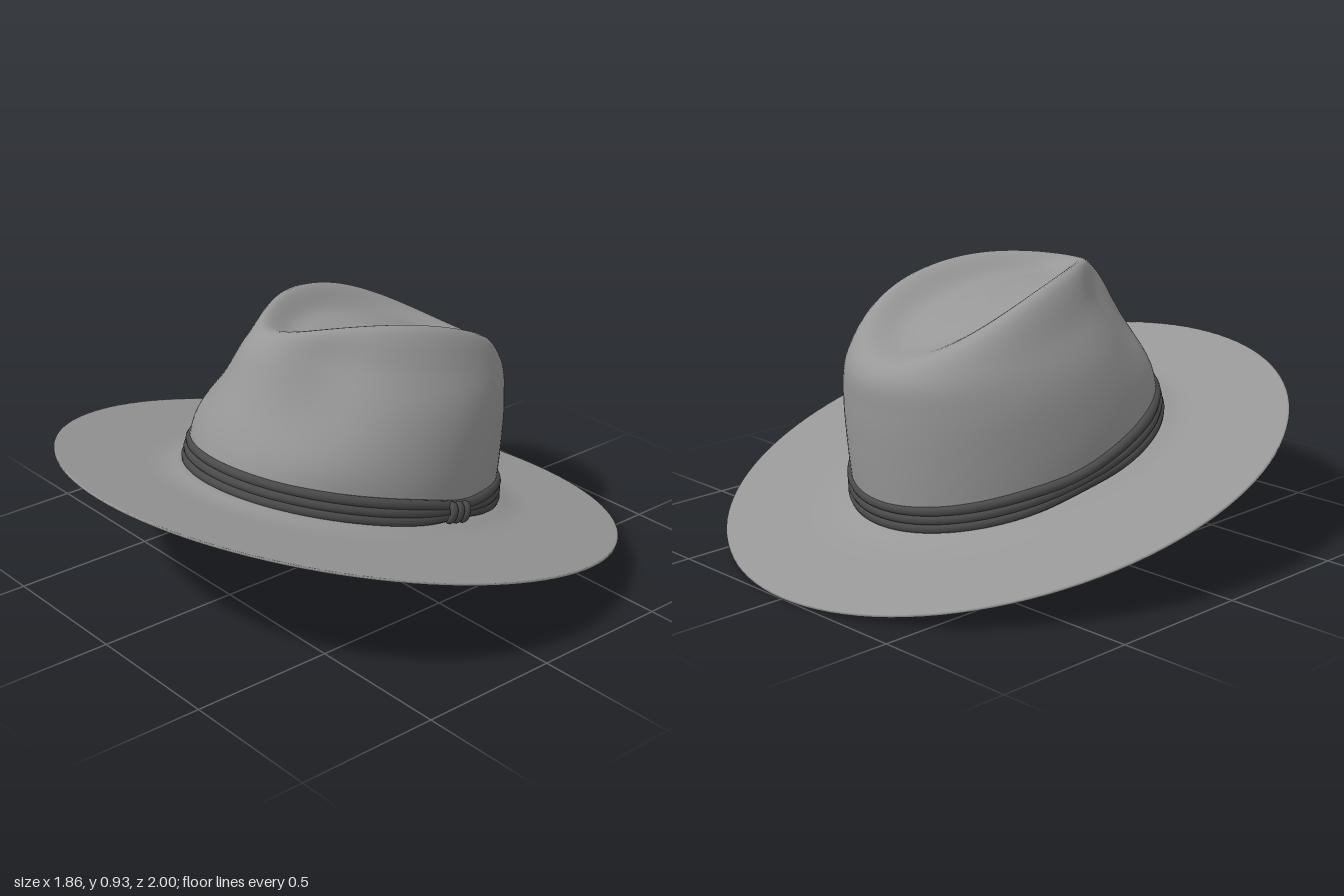
import * as THREE from 'three';

const COLS = 112;
const plane = z => 0.262 + 0.262 * z; // tilted plane the brim lies in

// Skin a grid of rings: point(row, angle) -> Vector3, angle 0 faces the front
function loft(rows, point) {
  const pos = [], index = [];
  for (let i = 0; i < rows; i++)
    for (let j = 0; j < COLS; j++) pos.push(...point(i, (j / COLS) * Math.PI * 2).toArray());
  for (let i = 0; i < rows - 1; i++)
    for (let j = 0; j < COLS; j++) {
      const a = i * COLS + j, b = i * COLS + (j + 1) % COLS, c = b + COLS, d = a + COLS;
      index.push(a, b, c, a, c, d);
    }
  const g = new THREE.BufferGeometry();
  g.setAttribute('position', new THREE.Float32BufferAttribute(pos, 3));
  g.setIndex(index);
  g.computeVertexNormals();
  return g;
}

// Soft bump around one angle
function bump(a, centre, width) {
  const turn = Math.atan2(Math.sin(a - centre), Math.cos(a - centre));
  return Math.exp(-((turn / width) ** 2));
}

// Height of the crown's upper ridge along z
const ridge = z => 0.9 + 0.157 * z - 0.388 * z * z;

// Crown rings: front z, back z, half width, teardrop taper, front pinch, height rule
const crownRings = [
  [0.57, -0.575, 0.467, 0, 0, z => plane(z) + 0.02],
  [0.525, -0.598, 0.462, 0.02, -0.015, z => 0.459 + 0.232 * z],
  [0.445, -0.614, 0.425, 0.08, 0.06, z => 0.648 + 0.209 * z],
  [0.375, -0.61, 0.366, 0.16, 0.09, z => 0.781 + 0.238 * z],
  [0.315, -0.565, 0.275, 0.25, 0.02, (z, a) => ridge(z) + 0.022 * Math.sin(a) ** 2],
  [0.2, -0.43, 0.165, 0.25, 0, z => ridge(z) - 0.042],
  [0.08, -0.29, 0.07, 0.15, 0, z => ridge(z) - 0.05],
  [-0.1, -0.1, 0, 0, 0, z => ridge(z) - 0.05],
];

function crownPoint([front, back, width, taper, pinch, height], a) {
  const squeeze = 1 - pinch * (bump(a, 0.72, 0.36) + bump(a, -0.72, 0.36));
  const x = width * Math.sin(a) * (1 - taper * Math.cos(a)) * squeeze;
  const z = (front + back) / 2 + ((front - back) / 2) * Math.cos(a) * squeeze;
  return new THREE.Vector3(x, height(z, a), z);
}

function crownGeometry() {
  const rows = 44, cache = new Map();
  return loft(rows, (i, a) => {
    if (!cache.has(a))
      cache.set(a, new THREE.CatmullRomCurve3(crownRings.map(r => crownPoint(r, a)), false, 'centripetal'));
    return cache.get(a).getPoint(i / (rows - 1));
  });
}

// Thin brim: underside outwards, then the top back inwards, flaring up at the crown
function brimGeometry() {
  const steps = [0, 0.04, 0.08, 0.13, 0.2, 0.3, 0.5, 0.75, 0.985, 1];
  const profile = [...steps.map(k => [k, 0]), ...steps.slice().reverse().map(k => [k, 0.008])];
  return loft(profile.length, (i, a) => {
    const [k, lift] = profile[i];
    const z = (0.573 + 0.427 * k) * Math.cos(a);
    const flare = 0.022 * Math.exp(-((k / 0.13) ** 2));
    return new THREE.Vector3((0.467 + 0.461 * k) * Math.sin(a), plane(z) + flare + lift, z);
  });
}

// Strip lining the inside of the opening: half width, half length, z shift, height
const liningRings = [
  [0.468, 0.574, 0, 0.02],
  [0.451, 0.542, -0.008, 0.04],
  [0.447, 0.536, -0.012, 0.07],
  [0.444, 0.53, -0.015, 0.1],
];

function liningGeometry() {
  return loft(liningRings.length, (i, a) => {
    const [rx, rz, shift, h] = liningRings[i];
    const z = shift + rz * Math.cos(a);
    return new THREE.Vector3(rx * Math.sin(a), plane(z) + h, z);
  });
}

// One cord of the hat band; the cords draw together at both sides
function cordGeometry(level) {
  const pts = [];
  for (let j = 0; j < 80; j++) {
    const a = (j / 80) * Math.PI * 2;
    const spread = 1 - 0.5 * bump(a, 1.78, 0.26) - 0.35 * bump(a, -1.78, 0.26);
    const z = -0.011 - 0.006 * level + (0.564 - 0.004 * level) * Math.cos(a);
    pts.push(new THREE.Vector3((0.477 - 0.002 * level) * Math.sin(a),
      plane(z) + 0.071 + 0.03 * level * spread, z));
  }
  return new THREE.TubeGeometry(new THREE.CatmullRomCurve3(pts, true), 128, 0.018, 10, true);
}

export function createModel() {
  const hat = new THREE.Group();
  hat.name = 'hat';
  const felt = new THREE.MeshStandardMaterial({ color: 0x989898, side: THREE.DoubleSide });
  const lining = new THREE.MeshStandardMaterial({ color: 0x707070, side: THREE.DoubleSide });
  const cord = new THREE.MeshStandardMaterial({ color: 0x4a4a4a });
  const add = (parent, name, geometry, material) => {
    const mesh = new THREE.Mesh(geometry, material);
    mesh.name = name;
    parent.add(mesh);
    return mesh;
  };

  add(hat, 'crown', crownGeometry(), felt);
  add(hat, 'brim', brimGeometry(), felt);
  add(hat, 'innerLining', liningGeometry(), lining);

  // Band of three cords
  const band = new THREE.Group();
  band.name = 'hatBand';
  for (const level of [-1, 0, 1]) add(band, 'bandCord', cordGeometry(level), cord);
  hat.add(band);

  // Knot: three loops wrapped round the cords on the left side
  const knot = new THREE.Group();
  knot.name = 'bandKnot';
  knot.position.set(0.488, 0.309, -0.085);
  knot.rotation.x = -Math.atan(0.262);
  for (const i of [-1, 0, 1]) {
    const loop = add(knot, 'knotLoop', new THREE.TorusGeometry(0.025, 0.016, 10, 24), cord);
    loop.scale.set(0.62, 0.95, 1);
    loop.position.z = 0.03 * i;
  }
  hat.add(knot);
  return hat;
}
